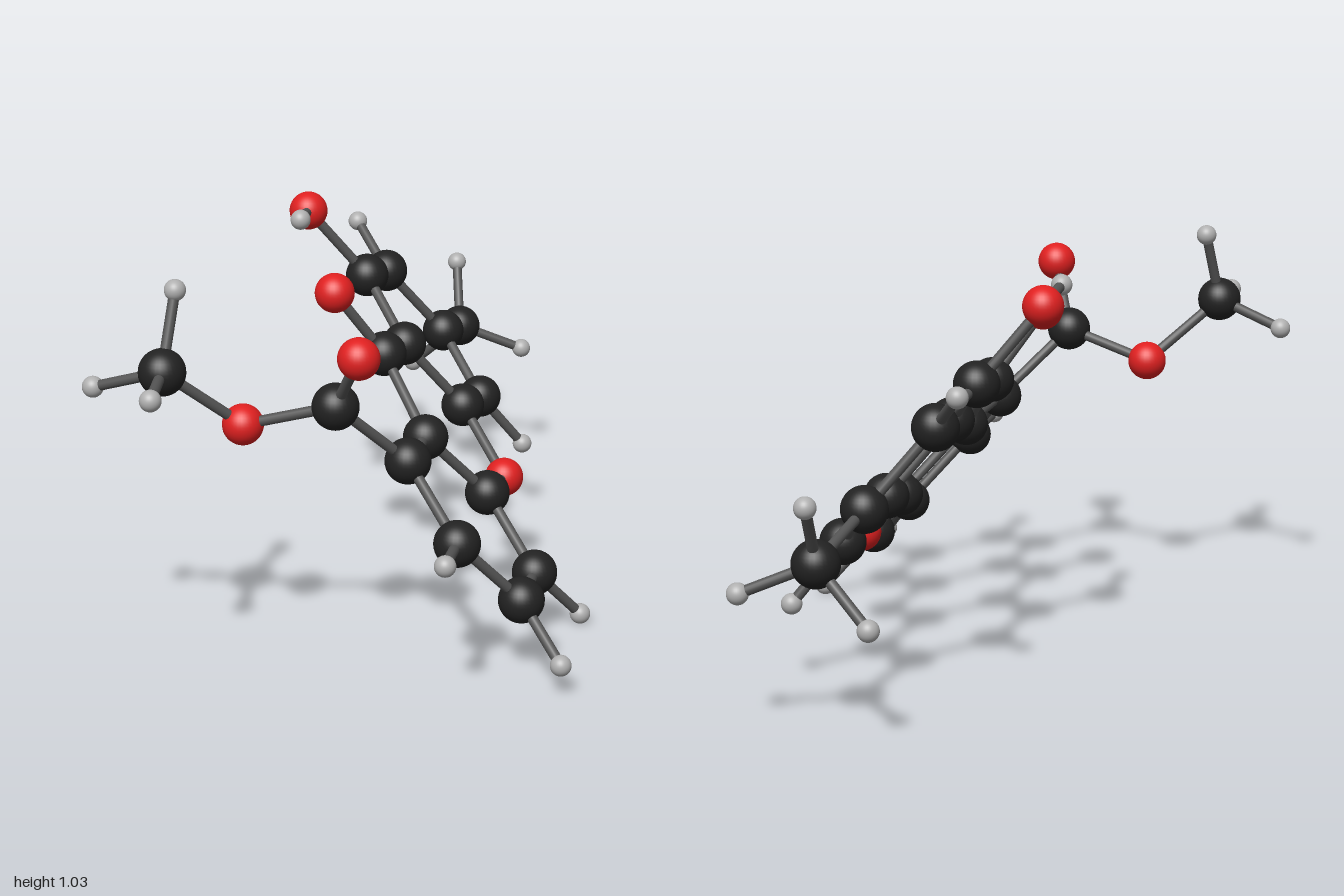
import * as THREE from 'three';

// Atom kinds: radius and colour
const KINDS = {
  carbon: { radius: 0.059, color: 0x222222 },
  oxygen: { radius: 0.052, color: 0xe02020 },
  hydrogen: { radius: 0.027, color: 0xb0b0b0 },
};
const BOND_RADIUS = 0.0135;

// Atom centres by kind
const CARBONS = {
  benzoA: [-0.318, 0.543, 0.322], benzoB: [-0.355, 0.39, 0.53], benzoC: [-0.182, 0.206, 0.588],
  benzoD: [0.029, 0.175, 0.439], benzoE: [0.067, 0.33, 0.232], benzoF: [-0.107, 0.515, 0.175],
  ketone: [-0.048, 0.679, -0.037],
  phenolA: [0.174, 0.623, -0.184], phenolB: [0.238, 0.759, -0.395], phenolC: [0.447, 0.7, -0.531],
  phenolD: [0.602, 0.503, -0.455], phenolE: [0.537, 0.368, -0.244], phenolF: [0.324, 0.428, -0.107],
  ringMethyl: [0.826, 0.434, -0.604],
  ester: [-0.515, 0.722, 0.269], esterMethyl: [-0.826, 0.817, -0.013],
};
const OXYGENS = {
  bridge: [0.275, 0.283, 0.098], ketoneO: [-0.174, 0.861, -0.091], hydroxylO: [0.099, 0.954, -0.481],
  esterO: [-0.57, 0.89, 0.409], linkO: [-0.631, 0.652, 0.058],
};
// Each hydrogen lists the atom that carries it
const HYDROGENS = [
  ['benzoB', -0.516, 0.411, 0.646], ['benzoC', -0.209, 0.086, 0.748], ['benzoD', 0.163, 0.031, 0.481],
  ['phenolE', 0.652, 0.211, -0.184], ['phenolC', 0.492, 0.806, -0.695], ['hydroxylO', -0.04, 0.978, -0.363],
  ['ringMethyl', 0.906, 0.598, -0.695], ['ringMethyl', 0.97, 0.357, -0.486], ['ringMethyl', 0.773, 0.299, -0.749],
  ['esterMethyl', -0.757, 1.005, -0.038], ['esterMethyl', -0.976, 0.813, 0.121], ['esterMethyl', -0.898, 0.754, -0.193],
];
// Chains of bonded atoms
const CHAINS = [
  'benzoA benzoB benzoC benzoD benzoE benzoF benzoA',
  'phenolA phenolB phenolC phenolD phenolE phenolF phenolA',
  'benzoF ketone phenolA', 'benzoE bridge phenolF', 'ketone ketoneO',
  'phenolB hydroxylO', 'phenolD ringMethyl',
  'benzoA ester linkO esterMethyl', 'ester esterO',
];

export function createModel() {
  const model = new THREE.Group();
  model.name = 'molecule';
  const atoms = new THREE.Group();
  atoms.name = 'atoms';
  const bonds = new THREE.Group();
  bonds.name = 'bonds';
  model.add(atoms, bonds);

  const spheres = {}, materials = {}, centres = {};
  for (const [kind, { radius, color }] of Object.entries(KINDS)) {
    spheres[kind] = new THREE.SphereGeometry(radius, 32, 20);
    materials[kind] = new THREE.MeshStandardMaterial({ color });
  }
  const rod = new THREE.CylinderGeometry(BOND_RADIUS, BOND_RADIUS, 1, 16);
  const rodMaterial = new THREE.MeshStandardMaterial({ color: 0x555555 });

  function addAtom(kind, name, position) {
    const atom = new THREE.Mesh(spheres[kind], materials[kind]);
    atom.name = `${kind}Atom_${name}`;
    atom.position.set(...position);
    atoms.add(atom);
    centres[name] = atom.position;
  }

  // Rod stretched between two atom centres
  function addBond(from, to) {
    const a = centres[from], b = centres[to];
    const along = b.clone().sub(a);
    const bond = new THREE.Mesh(rod, rodMaterial);
    bond.name = `bond_${from}_${to}`;
    bond.scale.y = along.length();
    bond.position.copy(a).add(b).multiplyScalar(0.5);
    bond.quaternion.setFromUnitVectors(new THREE.Vector3(0, 1, 0), along.normalize());
    bonds.add(bond);
  }

  for (const [name, p] of Object.entries(CARBONS)) addAtom('carbon', name, p);
  for (const [name, p] of Object.entries(OXYGENS)) addAtom('oxygen', name, p);

  for (const chain of CHAINS) {
    const names = chain.split(' ');
    for (let i = 1; i < names.length; i++) addBond(names[i - 1], names[i]);
  }

  HYDROGENS.forEach(([carrier, ...p], i) => {
    const name = `hydrogen${i + 1}`;
    addAtom('hydrogen', name, p);
    addBond(carrier, name);
  });

  return model;
}
